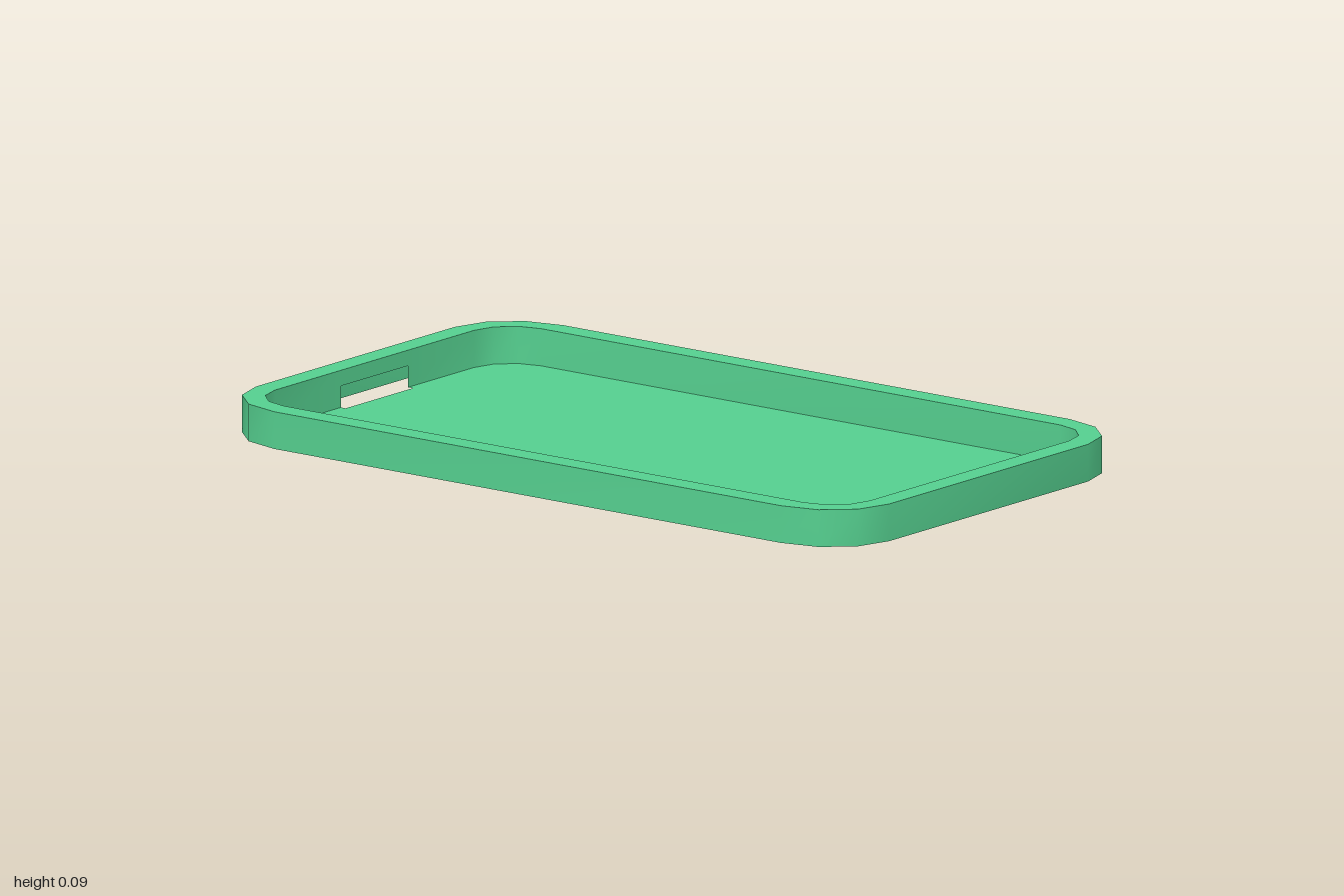
import * as THREE from 'three';
import { toCreasedNormals } from 'three/addons/utils/BufferGeometryUtils.js';

const HEIGHT = 0.095;
const SLOT = { half: 0.135, top: 0.055, inner: 0.925 };
const OUTER = { x: 1, z: 0.58, rx: 0.2, rz: 0.18 };
const INNER = { x: 0.94, z: 0.517, rx: 0.12, rz: 0.117 };

// Rounded rectangle with three segments per corner, counter-clockwise from the +x side.
// slotX, if given, adds slot corners on both short sides at that x.
function outline({ x, z, rx, rz }, slotX) {
  const points = [];
  for (let corner = 0; corner < 4; corner++) {
    const sx = corner === 0 || corner === 3 ? 1 : -1;
    const sz = corner < 2 ? 1 : -1;
    if (slotX && corner % 2 === 0) {
      const h = SLOT.half * sz;
      points.push([sx * x, -h], [sx * slotX, -h], [sx * slotX, h], [sx * x, h]);
    }
    for (let i = 0; i <= 3; i++) {
      const a = (corner + i / 3) * Math.PI / 2;
      points.push([sx * (x - rx) + rx * Math.cos(a), sz * (z - rz) + rz * Math.sin(a)]);
    }
  }
  return points.map(([px, pz]) => new THREE.Vector2(px, pz));
}

// Upright band along an outline; bottomAt gives the lower edge of each segment.
function band(points, inward, bottomAt = () => 0) {
  const positions = [];
  points.forEach((p, i) => {
    const q = points[(i + 1) % points.length];
    if (p.distanceTo(q) < 1e-6) return;
    const y = bottomAt(p, q);
    const [a, b] = inward ? [p, q] : [q, p];
    positions.push(
      a.x, y, a.y, b.x, y, b.y, b.x, HEIGHT, b.y,
      a.x, y, a.y, b.x, HEIGHT, b.y, a.x, HEIGHT, a.y
    );
  });
  const geometry = new THREE.BufferGeometry();
  geometry.setAttribute('position', new THREE.Float32BufferAttribute(positions, 3));
  return toCreasedNormals(geometry, 0.7);
}

function flat(points, y, hole) {
  const shape = new THREE.Shape(points);
  if (hole) shape.holes.push(new THREE.Path(hole));
  return new THREE.ShapeGeometry(shape).rotateX(-Math.PI / 2).translate(0, y, 0);
}

export function createModel() {
  const group = new THREE.Group();
  group.name = 'tray';
  const material = new THREE.MeshStandardMaterial({ color: 0x55cf8f, side: THREE.DoubleSide });
  const add = (name, geometry) => {
    const mesh = new THREE.Mesh(geometry, material);
    mesh.name = name;
    group.add(mesh);
  };

  // Hollow rim, open underneath
  add('outerWall', band(outline(OUTER), false));
  add('rimTop', flat(outline(OUTER), HEIGHT, outline(INNER)));

  // Inner wall, raised over the handle slot on each short side
  const isSlot = (p, q) => Math.abs(p.y) < SLOT.half + 0.01 && Math.abs(q.y) < SLOT.half + 0.01;
  add('innerWall', band(outline(INNER, INNER.x), true, (p, q) => (isSlot(p, q) ? SLOT.top : 0)));

  // Floor, notched at both slots
  add('floor', flat(outline(INNER, SLOT.inner), 0));

  return group;
}
